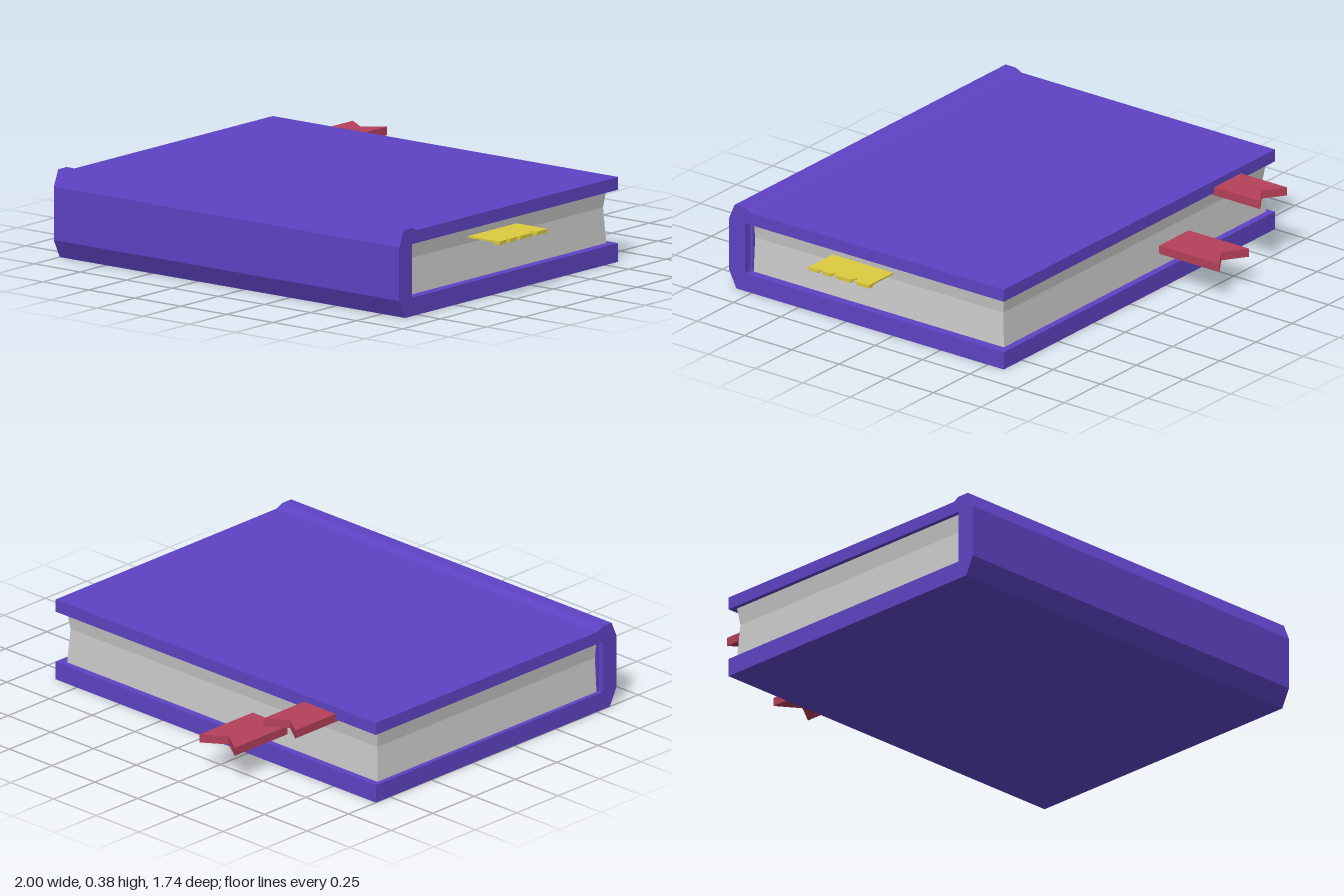
import * as THREE from 'three';

const paint = (color) => new THREE.MeshStandardMaterial({ color, flatShading: true });

function shapeFrom(points) {
  return new THREE.Shape(points.map(([x, y]) => new THREE.Vector2(x, y)));
}

// Flat plate: outline in (x, z), from height y upward by thickness
function plate(points, y, thickness) {
  const shape = shapeFrom(points.map(([x, z]) => [x, -z]));
  const geo = new THREE.ExtrudeGeometry(shape, { depth: thickness, bevelEnabled: false });
  return geo.rotateX(-Math.PI / 2).translate(0, y, 0);
}

export function createModel() {
  const book = new THREE.Group();
  book.name = 'book';
  const purple = paint(0x5e43c4);
  const red = paint(0xb5405a);
  const yellow = paint(0xdccb3f);

  const add = (name, geo, material) => {
    const mesh = new THREE.Mesh(geo, material);
    mesh.name = name;
    book.add(mesh);
  };

  // Cover: both boards and the bevelled spine as one (z, y) profile run along x
  const profile = [
    [-0.585, 0], [0.83, 0], [0.87, 0.08], [0.87, 0.31], [0.84, 0.38], [0.785, 0.38],
    [0.755, 0.365], [-0.585, 0.365], [-0.585, 0.31], [0.785, 0.31], [0.785, 0.08], [-0.585, 0.08],
  ];
  const cover = new THREE.ExtrudeGeometry(shapeFrom(profile), { depth: 1.875, bevelEnabled: false });
  cover.rotateY(-Math.PI / 2).translate(0.875, 0, 0);
  add('cover', cover, purple);

  // Spine lining between cover and pages
  add('spineLining', new THREE.BoxGeometry(1.82, 0.23, 0.018).translate(-0.07, 0.195, 0.778), purple);

  // Page block: three bands, slightly drawn in at mid height
  const width = 1.815, depth = 1.325;
  const pages = new THREE.BoxGeometry(width, 0.23, depth, 1, 3, 1);
  const pos = pages.attributes.position;
  for (let i = 0; i < pos.count; i++) {
    const inset = Math.abs(pos.getY(i)) < 0.1 ? (pos.getY(i) > 0 ? 0.01 : 0.005) : 0;
    pos.setX(i, pos.getX(i) - Math.sign(pos.getX(i)) * inset);
    if (pos.getZ(i) < 0) pos.setZ(i, pos.getZ(i) + inset);
  }
  pages.translate(-0.0725, 0.195, 0.1075);
  pages.computeVertexNormals();
  add('pages', pages, paint(0xcccccc));

  // Swallow-tailed ribbons at the back
  const ribbon = (name, x0, x1, end, notch, y) => add(name, plate([
    [x0, -0.55], [x1, -0.55], [x1, end], [(x0 + x1) / 2, notch], [x0, end],
  ], y, 0.037), red);
  ribbon('upperRibbon', -0.765, -0.58, -0.83, -0.765, 0.299);
  ribbon('lowerRibbon', -0.45, -0.245, -0.87, -0.8, 0.137);

  // Torn page marker on the left side, with notches along its free edge
  add('marker', plate([
    [0.8, 0.035], [0.998, 0.035], [0.998, 0.105], [0.96, 0.12], [0.997, 0.133],
    [0.997, 0.215], [0.975, 0.227], [0.997, 0.238], [0.995, 0.285], [0.984, 0.295],
    [0.995, 0.305], [1, 0.355], [0.8, 0.355],
  ], 0.257, 0.008), yellow);

  // Curled lip under each tongue of the marker
  for (const [z0, z1] of [[0.035, 0.105], [0.135, 0.213], [0.24, 0.283], [0.307, 0.355]]) {
    const lip = new THREE.ExtrudeGeometry(
      shapeFrom([[0.96, 0.257], [0.975, 0.248], [0.995, 0.248], [0.995, 0.257]]),
      { depth: z1 - z0, bevelEnabled: false });
    add('markerLip', lip.translate(0, 0, z0), yellow);
  }
  return book;
}
